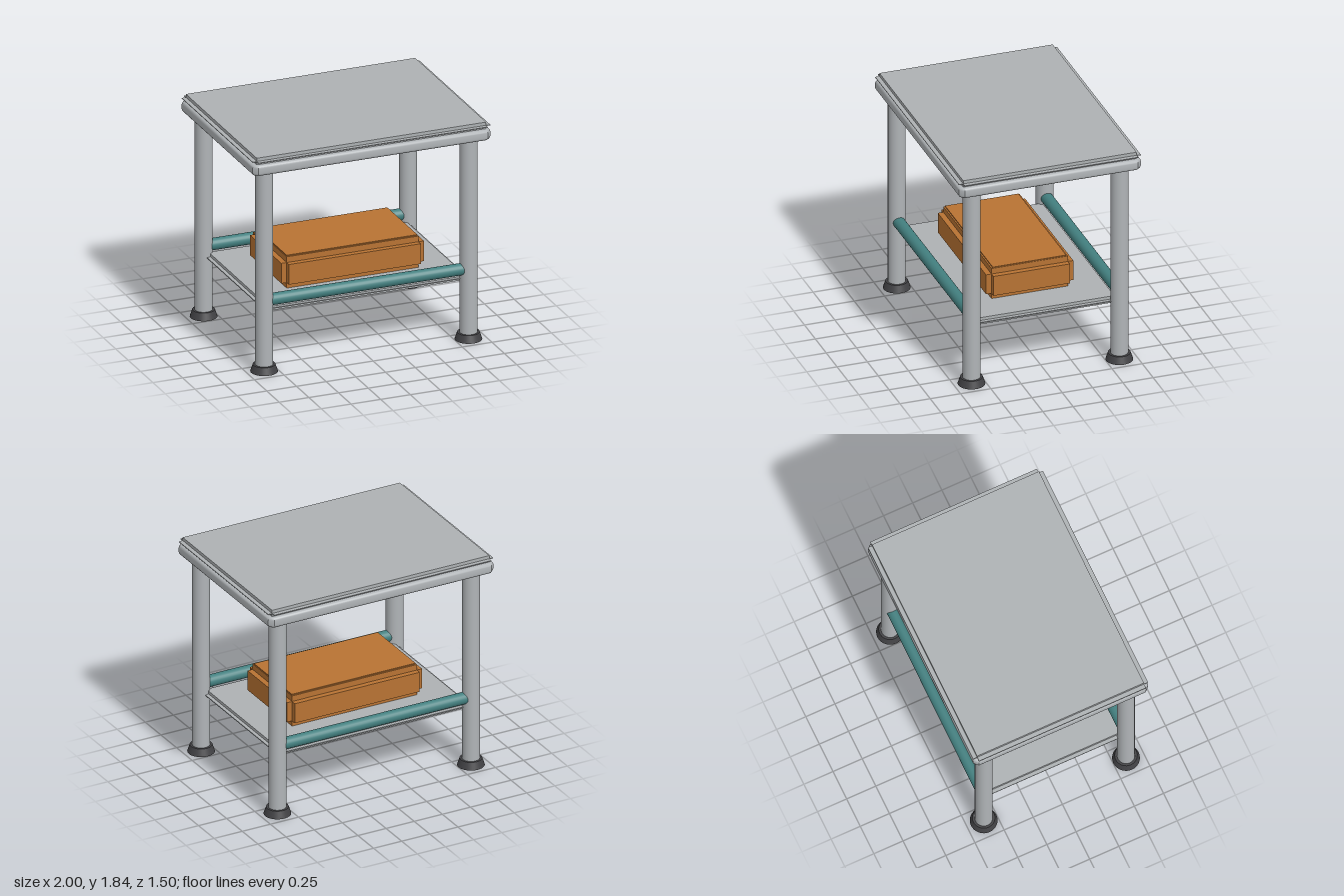
import * as THREE from 'three';
import { toCreasedNormals } from 'three/addons/utils/BufferGeometryUtils.js';
import { RoundedBoxGeometry } from 'three/addons/geometries/RoundedBoxGeometry.js';

const mat = (name, color) => new THREE.MeshStandardMaterial({ name, color });

export function createModel() {
  const root = new THREE.Group();
  root.name = 'cart';
  const steel = mat('steel', 0xb0b4b7);
  const sheet = mat('sheetMetal', 0xadb1b3);
  const copper = mat('copperOrange', 0xb87333);
  const teal = mat('teal', 0x438080);
  const rubber = mat('darkRubber', 0x414144);

  function add(parent, name, geometry, material, x = 0, y = 0, z = 0) {
    const mesh = new THREE.Mesh(geometry, material);
    mesh.name = name;
    mesh.position.set(x, y, z);
    parent.add(mesh);
    return mesh;
  }

  // Stepped block: three crossed boxes, inset by b (sides) and c (top and bottom)
  function steppedBlock(name, material, w, h, d, b, c, x, y, z) {
    const group = new THREE.Group();
    group.name = name;
    group.position.set(x, y, z);
    const box = (part, sx, sy, sz) => add(group, part, new THREE.BoxGeometry(sx, sy, sz), material);
    box(name + 'Core', w - 2 * b, h, d - 2 * b);
    box(name + 'Ends', w, h - 2 * c, d - 2 * b);
    box(name + 'Sides', w - 2 * b, h - 2 * c, d);
    root.add(group);
    return group;
  }

  // Rectangle outline with cut corners
  function cutRect(Type, hx, hz, cut) {
    const pts = [
      [hx - cut, -hz], [hx, cut - hz], [hx, hz - cut], [hx - cut, hz],
      [cut - hx, hz], [-hx, hz - cut], [-hx, cut - hz], [cut - hx, -hz],
    ].map(([x, y]) => new THREE.Vector2(x, y));
    return new Type(pts);
  }

  // Table top and its rounded rim
  steppedBlock('tableTop', sheet, 2, 0.06, 1.5, 0.035, 0.027, 0, 1.81, 0);
  const bevel = 0.025;
  const rim = cutRect(THREE.Shape, 1 - bevel, 0.75 - bevel, 0.02);
  rim.holes.push(cutRect(THREE.Path, 0.91 + bevel, 0.66 + bevel, 0.01));
  const rimGeo = new THREE.ExtrudeGeometry(rim, {
    depth: 0.09 - 2 * bevel, bevelEnabled: true, bevelSize: bevel, bevelThickness: bevel, bevelSegments: 4,
  });
  rimGeo.rotateX(-Math.PI / 2);
  add(root, 'topRim', toCreasedNormals(rimGeo, 0.65), steel, 0, 1.695 + bevel, 0);

  // Legs with rubber feet and corner pads
  for (const sx of [-1, 1]) {
    for (const sz of [-1, 1]) {
      const leg = new THREE.Group();
      leg.name = (sz > 0 ? 'front' : 'back') + (sx > 0 ? 'Left' : 'Right') + 'Leg';
      leg.position.set(sx * 0.86, 0, sz * 0.61);
      add(leg, 'legTube', new THREE.CylinderGeometry(0.07, 0.07, 1.7, 32), steel, 0, 0.89, 0);
      add(leg, 'foot', new THREE.CylinderGeometry(0.088, 0.108, 0.06, 32), rubber, 0, 0.03, 0);
      add(leg, 'cornerPad', new RoundedBoxGeometry(0.19, 0.1, 0.19, 3, 0.025), steel, 0, 1.725, 0);
      root.add(leg);
    }
  }

  // Lower shelf
  steppedBlock('shelf', sheet, 1.72, 0.058, 1.22, 0.03, 0.025, 0, 0.514, 0);

  // Rails along the front and back of the shelf
  for (const sz of [-1, 1]) {
    const rail = add(root, sz > 0 ? 'frontRail' : 'backRail',
      new THREE.CylinderGeometry(0.048, 0.048, 1.72, 24), teal, 0, 0.593, sz * 0.61);
    rail.rotation.z = Math.PI / 2;
  }

  // Storage box with a thin lid panel
  steppedBlock('storageBox', copper, 1.2, 0.265, 0.72, 0.045, 0.048, 0, 0.673, 0.02);
  add(root, 'lidPanel', new THREE.BoxGeometry(1.1, 0.009, 0.605), copper, 0, 0.809, 0.02);

  return root;
}
